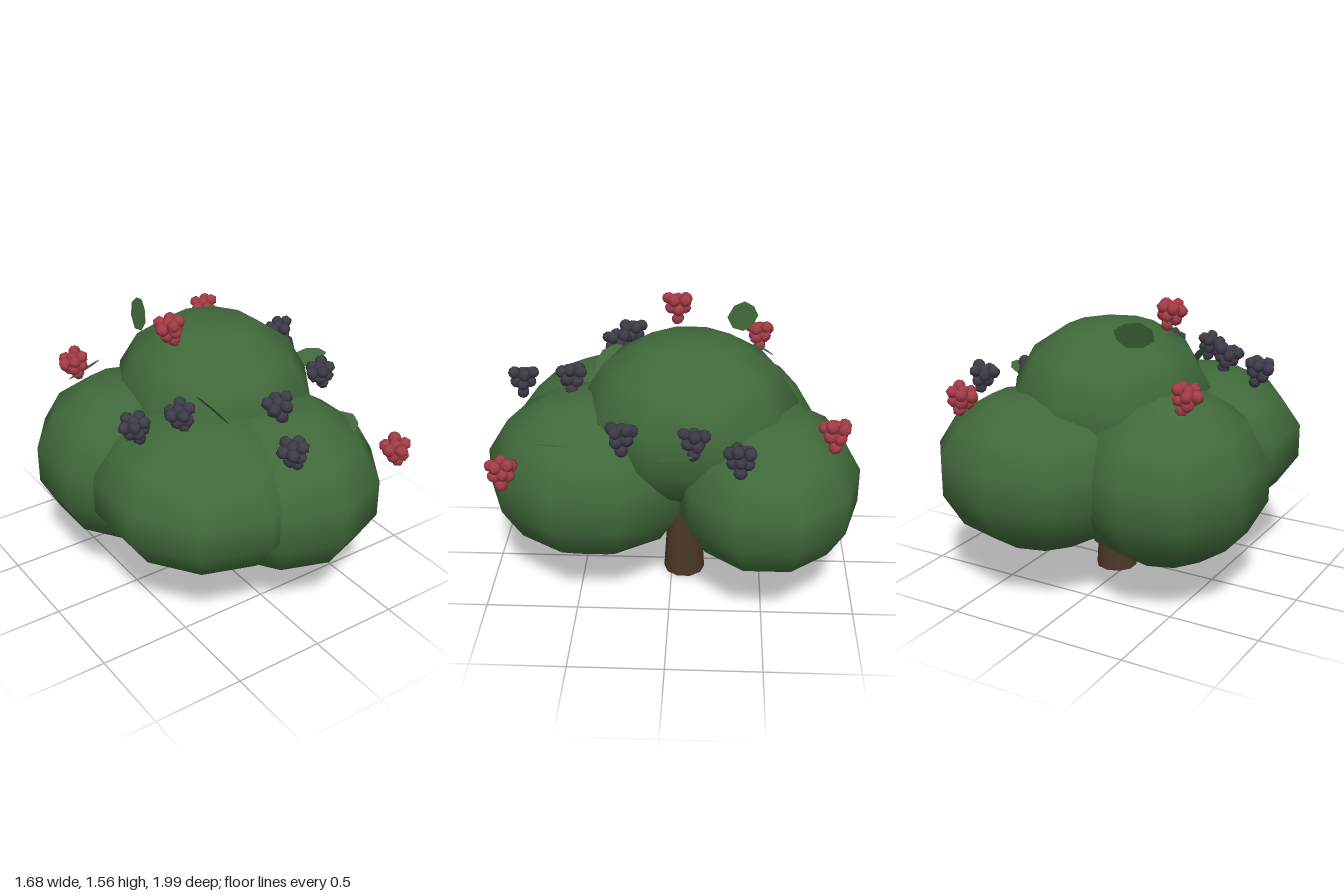
import * as THREE from 'three';

const mat = (name, color, side = THREE.FrontSide) => {
  const m = new THREE.MeshStandardMaterial({ color, side });
  m.name = name;
  return m;
};

export function createModel() {
  const foliage = mat('foliage green', 0x41693b);
  const leafGreen = mat('leaf green', 0x41693b, THREE.DoubleSide);
  const bark = mat('bark brown', 0x4c3828);
  const red = mat('berry red', 0xa63c47);
  const black = mat('berry black', 0x3d3c48);

  const model = new THREE.Group();
  model.name = 'berryBush';
  const add = (parent, name, geo, material) => {
    const mesh = new THREE.Mesh(geo, material);
    mesh.name = name;
    parent.add(mesh);
    return mesh;
  };

  // Tapered trunk
  const trunkGeo = new THREE.CylinderGeometry(0.07, 0.115, 0.76, 10);
  add(model, 'trunk', trunkGeo, bark).position.set(0.072, 0.38, -0.07);

  // Overlapping foliage masses: centre, then radii
  const blobGeo = new THREE.SphereGeometry(1, 10, 7).rotateY(Math.PI / 2);
  const blobs = [
    ['foliageFrontLeft', [0.15, 0.68, 0.42], [0.54, 0.46, 0.587]],
    ['foliageFrontRight', [-0.24, 0.725, 0.285], [0.595, 0.41, 0.62]],
    ['foliageBackRight', [-0.36, 0.675, -0.25], [0.528, 0.465, 0.565]],
    ['foliageBackLeft', [0.29, 0.69, -0.51], [0.58, 0.43, 0.503]],
    ['foliageTop', [0.08, 0.98, -0.095], [0.545, 0.465, 0.59]],
  ];
  for (const [name, centre, radii] of blobs) {
    const blob = add(model, name, blobGeo, foliage);
    blob.position.set(...centre);
    blob.scale.set(...radii);
  }

  // Berry cluster: wide ring on top, narrower ring below, single tip
  const berryGeo = new THREE.SphereGeometry(0.035, 6, 5);
  const rings = [[5, 0.052, 0.038], [1, 0, 0.045], [4, 0.036, -0.012], [1, 0, -0.058]];
  const cluster = (name, material, x, y, z, turn) => {
    const group = new THREE.Group();
    group.name = name;
    for (const [count, radius, height] of rings) {
      for (let i = 0; i < count; i++) {
        const a = turn + (i / count) * Math.PI * 2 + height * 10;
        const berry = add(group, 'berry', berryGeo, material);
        berry.position.set(radius * Math.cos(a), height + (i % 2) * 0.012, radius * Math.sin(a));
        berry.rotation.set(a, a * 2, 0);
      }
    }
    group.position.set(x, y, z);
    group.rotation.z = 0.3;
    model.add(group);
  };
  [
    [-0.23, 1.475, -0.02], [0.6, 0.895, 0.84], [0.53, 1.11, -0.83], [-0.56, 1.18, -0.48],
  ].forEach((p, i) => cluster('redBerryCluster', red, ...p, i * 1.3));
  [
    [-0.62, 1.15, 0.26], [-0.4, 1.18, 0.33], [0.06, 1.175, 0.535], [-0.065, 1.095, 0.82],
    [0.58, 1.095, 0.23], [0.75, 1.08, -0.36], [0.59, 1.085, -0.13],
  ].forEach((p, i) => cluster('blackBerryCluster', black, ...p, i * 0.9 + 0.4));

  // Loose flat leaves: centre, lengthwise direction, facing normal
  const leafShape = new THREE.Shape([
    [-0.115, 0], [-0.07, -0.06], [0.01, -0.08], [0.08, -0.05],
    [0.115, 0], [0.08, 0.05], [0.01, 0.08], [-0.07, 0.06],
  ].map(([x, y]) => new THREE.Vector2(x, y)));
  const leafGeo = new THREE.ShapeGeometry(leafShape);
  const leaf = (centre, along, normal) => {
    const u = new THREE.Vector3(...along).normalize();
    const n = new THREE.Vector3(...normal);
    n.addScaledVector(u, -n.dot(u)).normalize();
    const v = new THREE.Vector3().crossVectors(n, u);
    const mesh = add(model, 'leaf', leafGeo, leafGreen);
    mesh.quaternion.setFromRotationMatrix(new THREE.Matrix4().makeBasis(u, v, n));
    mesh.position.set(...centre);
  };
  leaf([-0.215, 1.435, -0.37], [0.16, 0.08, -0.18], [0.85, 0.5, 0.6]);
  leaf([0.7, 1.055, -0.04], [0.18, 0.06, 0.12], [-0.3, 1, 0.1]);
  leaf([0.455, 0.985, 0.57], [0.12, 0.02, -0.98], [-0.45, 1, 0]);
  leaf([-0.215, 1.165, 0.34], [0.35, -0.45, 0.7], [0.8, 0.5, 0.1]);
  leaf([-0.5, 1.13, -0.49], [1, 0.15, -0.3], [-0.2, 0.8, -0.5]);

  return model;
}
